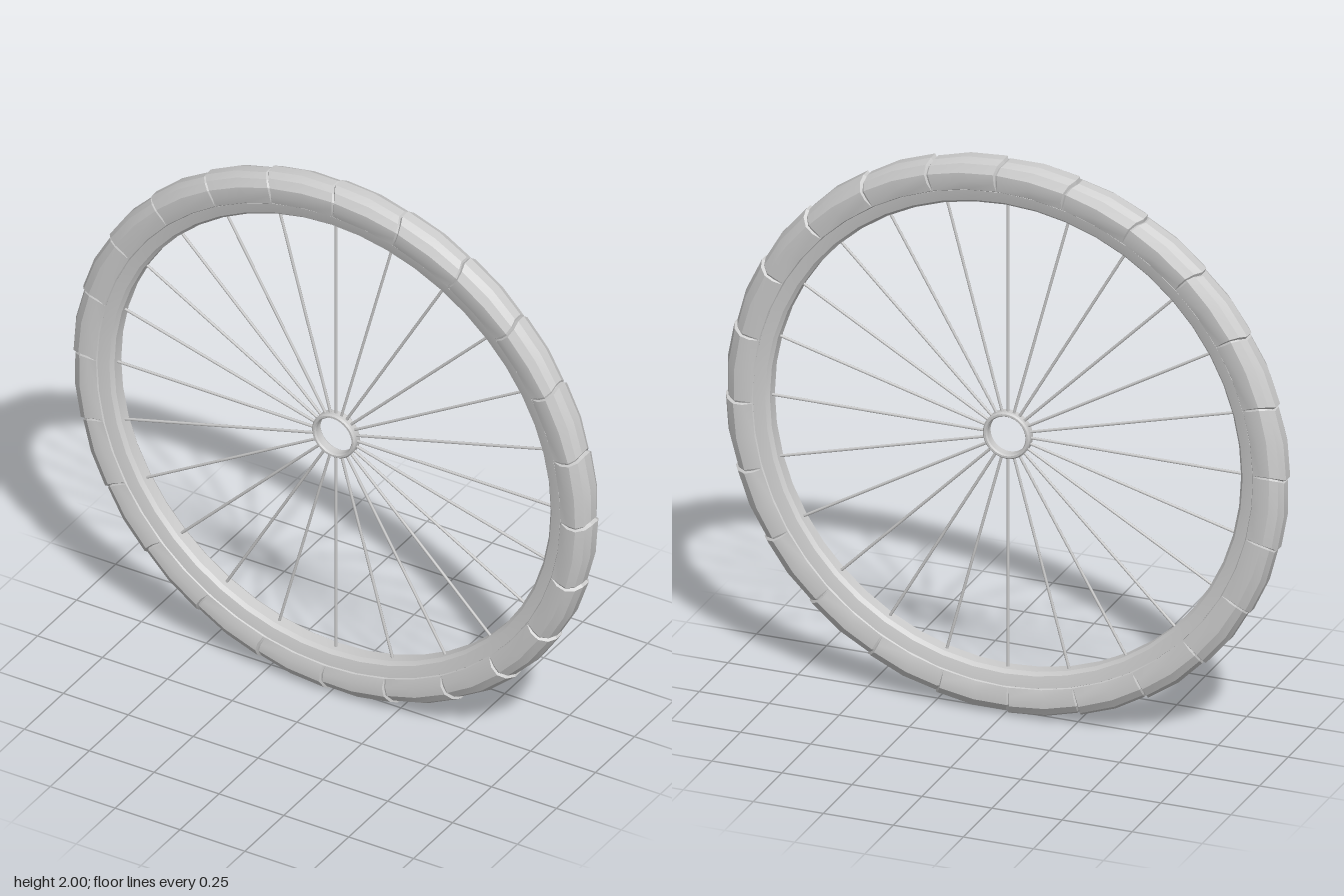
import * as THREE from 'three';
import { toCreasedNormals } from 'three/addons/utils/BufferGeometryUtils.js';

const SECTORS = 24;
const STEP = (Math.PI * 2) / SECTORS;

// Closed [radius, depth] profile, counter-clockwise, starting on the inside face
function closedProfile(half) {
  const front = half.map(([r, z]) => new THREE.Vector2(r, z));
  const back = half.map(([r, z]) => new THREE.Vector2(r, -z));
  const points = [...back, ...front.reverse()];
  points.push(points[0].clone());
  return points;
}

// Wheel-shaped solid, turned around the z axis
function ring(half, segments) {
  return new THREE.LatheGeometry(closedProfile(half), segments).rotateX(Math.PI / 2);
}

// Tyre: each sector is a tread block that tapers into a narrow groove
function tyreGeometry() {
  const points = closedProfile([
    [0.882, 0.03], [0.895, 0.05], [0.925, 0.06], [0.958, 0.06], [0.986, 0.043], [1.0, 0.018],
  ]);
  const offsets = [0, 0.5, 0.955, 0.98];
  const swell = [1, 1, 0.88, 0.78];
  const geometry = new THREE.LatheGeometry(points, SECTORS * 4);
  const pos = geometry.attributes.position;
  for (let n = 0; n < pos.count; n++) {
    const i = Math.floor(n / points.length);
    const p = points[n % points.length];
    const k = i % 4;
    const outer = p.x > 0.91;
    const scale = outer ? swell[k] : 1;
    const r = outer ? 0.94 + (p.x - 0.94) * scale : p.x;
    const z = p.y * (outer ? 1 - (1 - scale) * 0.5 : 1);
    // Slight chevron sweep towards the sidewalls
    const a = (Math.floor(i / 4) + offsets[k]) * STEP + (Math.abs(p.y) / 0.06) * 0.03;
    pos.setXYZ(n, r * Math.sin(a), r * Math.cos(a), z);
  }
  // The sweep runs clockwise about z, so reverse the faces to point outward
  const index = geometry.index.array;
  const a = new THREE.Vector3(), b = new THREE.Vector3(), c = new THREE.Vector3();
  let volume = 0;
  for (let t = 0; t < index.length; t += 3) {
    a.fromBufferAttribute(pos, index[t]);
    b.fromBufferAttribute(pos, index[t + 1]);
    c.fromBufferAttribute(pos, index[t + 2]);
    volume += a.dot(b.cross(c));
  }
  if (volume < 0) {
    for (let t = 0; t < index.length; t += 3) {
      [index[t + 1], index[t + 2]] = [index[t + 2], index[t + 1]];
    }
  }
  return toCreasedNormals(geometry, 0.4);
}

export function createModel() {
  const wheel = new THREE.Group();
  wheel.name = 'wheel';
  const material = new THREE.MeshStandardMaterial({ color: 0xcccccc });
  const add = (name, geometry, parent = wheel) => {
    const mesh = new THREE.Mesh(geometry, material);
    mesh.name = name;
    parent.add(mesh);
    return mesh;
  };

  add('tyre', tyreGeometry());

  // Rim with a shallow lip under the tyre
  const rimHalf = [[0.841, 0.022], [0.852, 0.036], [0.872, 0.042], [0.892, 0.046], [0.9, 0.03]];
  add('rim', toCreasedNormals(ring(rimHalf, SECTORS * 2), 0.5));

  // Hub ring
  const hubHalf = [[0.068, 0.014], [0.072, 0.02], [0.079, 0.02], [0.084, 0.014]];
  add('hub', toCreasedNormals(ring(hubHalf, 32), 0.5));

  // Straight radial spokes
  const spokes = new THREE.Group();
  spokes.name = 'spokes';
  wheel.add(spokes);
  const spokeGeometry = new THREE.CylinderGeometry(0.005, 0.005, 0.77, 8).translate(0, 0.465, 0);
  for (let i = 0; i < SECTORS; i++) {
    add('spoke', spokeGeometry, spokes).rotation.z = i * STEP;
  }

  wheel.position.y = 1;
  const model = new THREE.Group();
  model.name = 'spokedWheel';
  model.add(wheel);
  return model;
}
